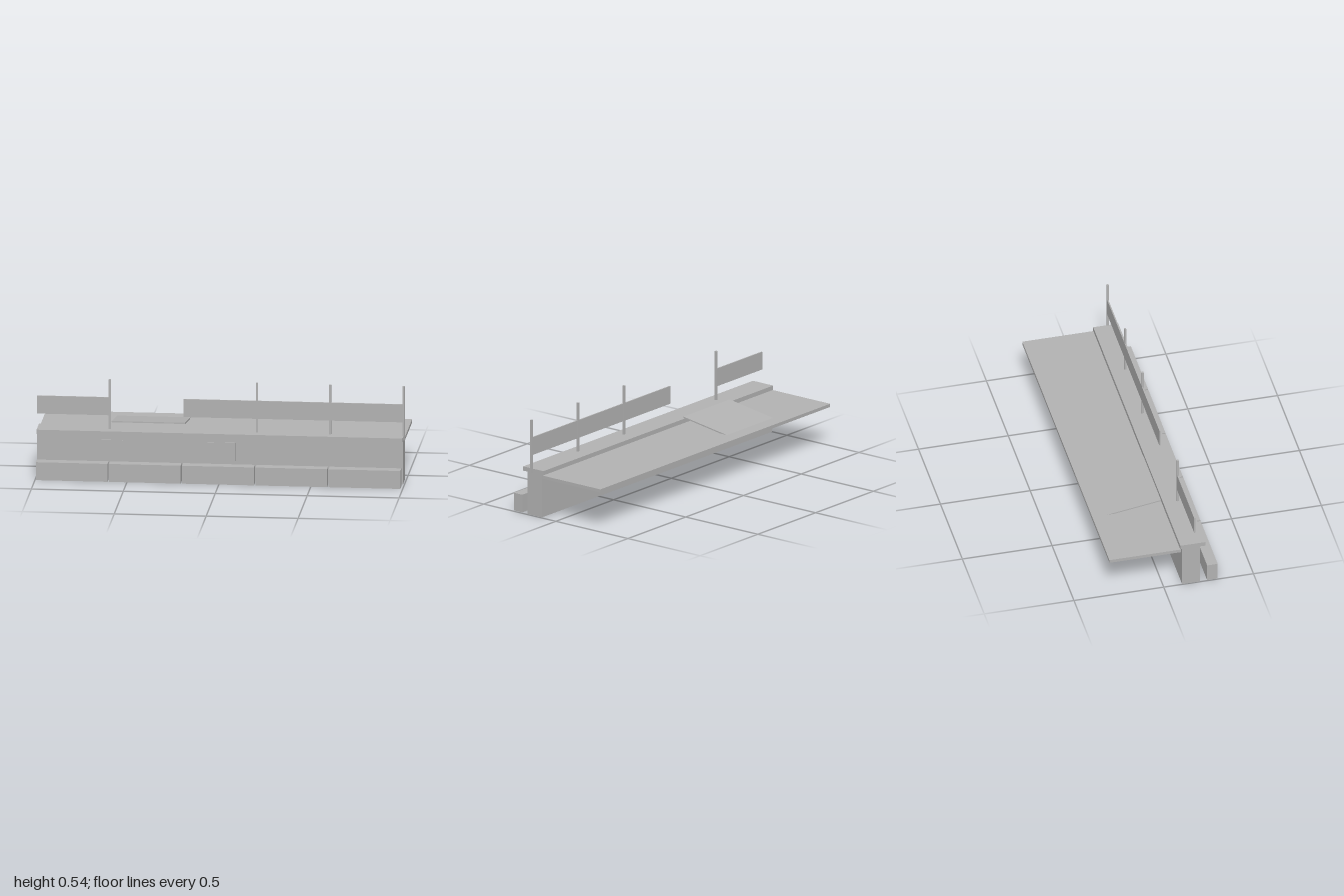
import * as THREE from 'three';

export function createModel() {
  const model = new THREE.Group();
  model.name = 'walkway';
  const concrete = new THREE.MeshStandardMaterial({ color: 0xb2b2b2 });
  concrete.name = 'concrete grey';

  // Box given by its lower and upper limits on each axis
  const box = (name, [x0, x1], [y0, y1], [z0, z1]) => {
    const mesh = new THREE.Mesh(new THREE.BoxGeometry(x1 - x0, y1 - y0, z1 - z0), concrete);
    mesh.position.set((x0 + x1) / 2, (y0 + y1) / 2, (z0 + z1) / 2);
    mesh.name = name;
    model.add(mesh);
    return mesh;
  };

  // Wall, its overhanging cap and the deck behind it
  const length = [-0.998, 0.992];
  box('wall', length, [0, 0.24], [0.103, 0.202]);
  box('wallCap', length, [0.24, 0.264], [0.093, 0.233]);
  box('deck', length, [0.22, 0.238], [-0.302, 0.098]);

  // Row of kerb blocks in front, with narrow gaps
  for (let i = 0; i < 5; i++) {
    const x = -0.995 + i * 0.398;
    box('kerbBlock', [x, x + 0.39], [0, 0.1], [0.243, 0.302]);
  }

  // Thin plates on the front of the wall
  for (const x of [-0.605, 0.005]) {
    box('wallPlate', [x - 0.075, x + 0.075], [0.11, 0.21], [0.201, 0.207]);
  }

  // Railing posts and boards, leaving an opening at the ramp
  for (const x of [-0.605, 0.195, 0.593, 0.993]) {
    box('railPost', [x - 0.006, x + 0.006], [0.24, 0.54], [0.168, 0.179]);
  }
  box('railBoardRight', [-1, -0.603], [0.34, 0.44], [0.17, 0.177]);
  box('railBoardLeft', [-0.205, 0.997], [0.34, 0.44], [0.17, 0.177]);

  // Sloping ramp plate, a side profile extruded across the opening
  const profile = new THREE.Shape([
    [-0.081, 0.277], [-0.081, 0.284], [0.225, 0.2375], [0.225, 0.2305],
  ].map(([x, y]) => new THREE.Vector2(x, y)));
  const rampGeometry = new THREE.ExtrudeGeometry(profile, { depth: 0.4, bevelEnabled: false });
  rampGeometry.rotateY(Math.PI / 2);
  const ramp = new THREE.Mesh(rampGeometry, concrete);
  ramp.position.x = -0.605;
  ramp.name = 'ramp';
  model.add(ramp);

  return model;
}
